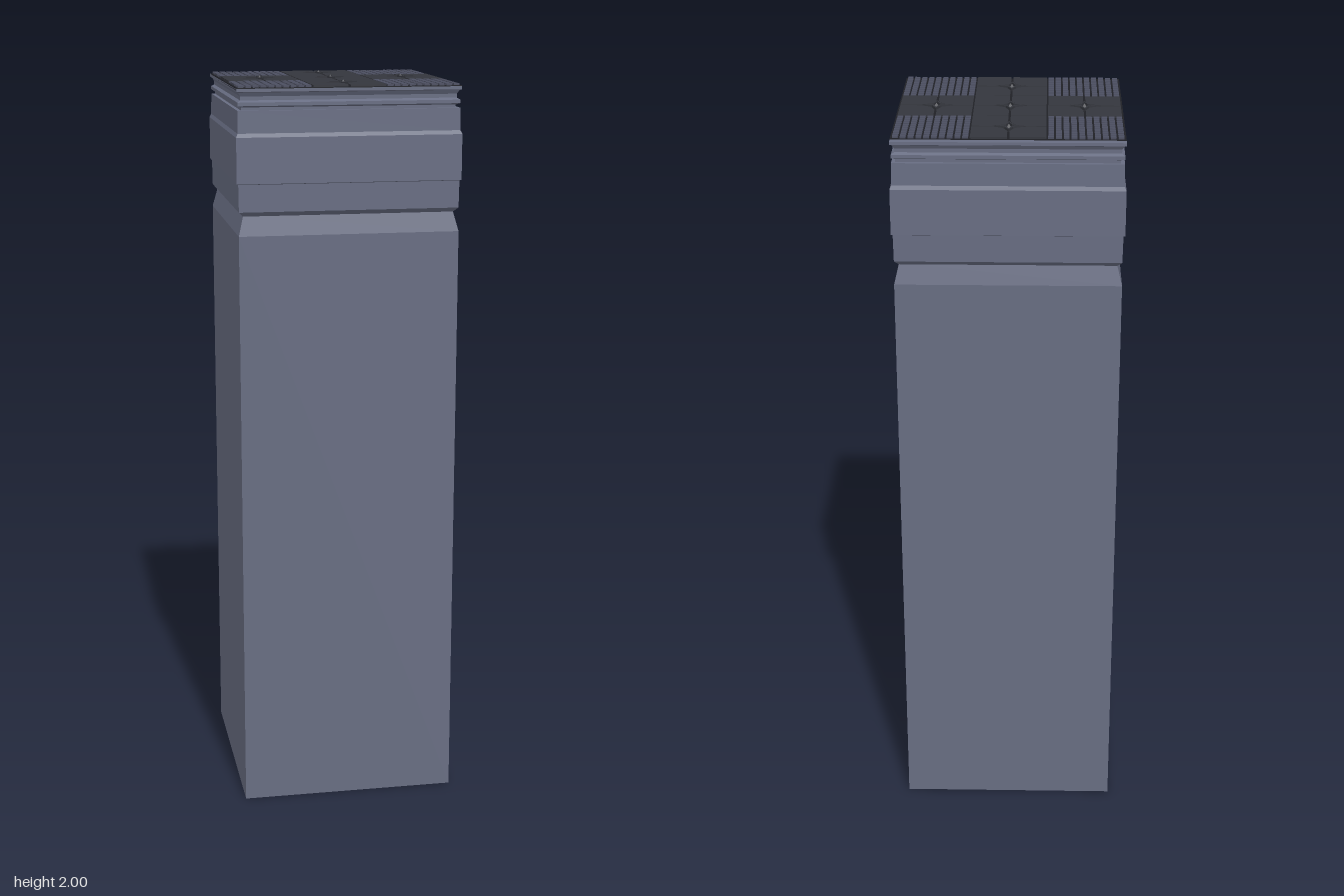
import * as THREE from 'three';
import { mergeGeometries } from 'three/addons/utils/BufferGeometryUtils.js';

const mat = (color) => new THREE.MeshStandardMaterial({ color, flatShading: true });
const stone = mat(0x686d82), mosaic = mat(0x4b4e60), slate = mat(0x34363d), grout = mat(0x1f2026);

const TILE = 0.196, MID_Z = 0.008, BED = 1.987;

function add(group, name, geometry, material) {
  const mesh = new THREE.Mesh(geometry, material);
  mesh.name = name;
  group.add(mesh);
  return mesh;
}

// Four-sided turned solid: profile of [half width, height], deeper in z than in x
function squareTurn(profile) {
  const pts = profile.map(([r, y]) => new THREE.Vector2(r * Math.SQRT2, y));
  return new THREE.LatheGeometry(pts, 4).rotateY(Math.PI / 4).scale(1, 1, 1.038);
}

// Flat outline extruded upwards, lying in the xz plane
function slab(shape, y, height) {
  return new THREE.ExtrudeGeometry(shape, { depth: height, bevelEnabled: false })
    .rotateX(-Math.PI / 2).translate(0, y, 0);
}

function starPoints(long, short) {
  return Array.from({ length: 8 }, (_, i) => {
    const r = i % 2 ? short : long, a = i * Math.PI / 4;
    return new THREE.Vector2(r * Math.cos(a), r * Math.sin(a));
  });
}

// Four panels with their inner corners cut back around a star
function panelTile() {
  const g = 0.003, e = TILE / 2 - 0.002;
  const quarter = new THREE.Shape([[0.044, g], [e, g], [e, e], [g, e], [g, 0.044], [0.008, 0.030],
    [0.0155, 0.0155], [0.030, 0.008]].map(([x, y]) => new THREE.Vector2(x, y)));
  return mergeGeometries([0, 1, 2, 3].map((k) =>
    slab(quarter, BED + 0.001, 0.005).rotateY(k * Math.PI / 2)));
}

// Raised star frame with a small pyramid in its middle
function starBoss() {
  const frame = new THREE.Shape(starPoints(0.037, 0.016));
  frame.holes.push(new THREE.Path(starPoints(0.028, 0.011)));
  const core = new THREE.ConeGeometry(0.011, 0.012, 4).rotateY(Math.PI / 4)
    .translate(0, BED + 0.007, 0).toNonIndexed();
  return mergeGeometries([slab(frame, BED + 0.001, 0.008), core]);
}

// Grid of small square chips
function mosaicTile() {
  const n = 10, pitch = TILE / n, chips = [];
  for (let i = 0; i < n; i++) for (let j = 0; j < n; j++) {
    chips.push(new THREE.BoxGeometry(0.0145, 0.005, 0.0145).translate(
      (i - (n - 1) / 2) * pitch, BED + 0.0035, (j - (n - 1) / 2) * pitch));
  }
  return mergeGeometries(chips);
}

export function createModel() {
  const model = new THREE.Group();
  model.name = 'pillar';

  // Shaft with a chamfered shoulder
  add(model, 'shaft', squareTurn([[0, 0], [0.295, 0], [0.295, 1.605], [0.281, 1.66], [0, 1.66]]), stone);

  // Collar with a slightly proud middle band
  add(model, 'collar', squareTurn([[0, 1.655], [0.281, 1.655], [0.294, 1.668], [0.295, 1.74],
    [0.2995, 1.742], [0.2995, 1.862], [0.295, 1.872], [0.294, 1.93], [0, 1.93]]), stone);

  // Stepped cap mouldings
  add(model, 'capMoulding', squareTurn([[0, 1.925], [0.284, 1.925], [0.284, 1.938], [0.294, 1.942],
    [0.294, 1.951], [0.286, 1.956], [0.286, 1.966], [0.292, 1.976], [0.297, 1.978],
    [0.297, 1.986], [0, 1.986]]), stone);

  // Bed under the tiles, leaving a plain strip at the back
  add(model, 'tileBed', new THREE.BoxGeometry(0.594, 0.006, 0.594)
    .translate(0, BED - 0.002, MID_Z + 0.002), grout);

  // Cross of star tiles, mosaic in the corners
  const panels = panelTile(), star = starBoss(), chips = mosaicTile();
  for (let i = -1; i <= 1; i++) for (let j = -1; j <= 1; j++) {
    const tile = new THREE.Group();
    tile.position.set(i * TILE, 0, MID_Z + j * TILE);
    if (i && j) {
      tile.name = 'mosaicTile';
      add(tile, 'chips', chips, mosaic);
    } else {
      tile.name = 'starTile';
      add(tile, 'panels', panels, slate);
      add(tile, 'star', star, slate);
    }
    model.add(tile);
  }
  return model;
}
